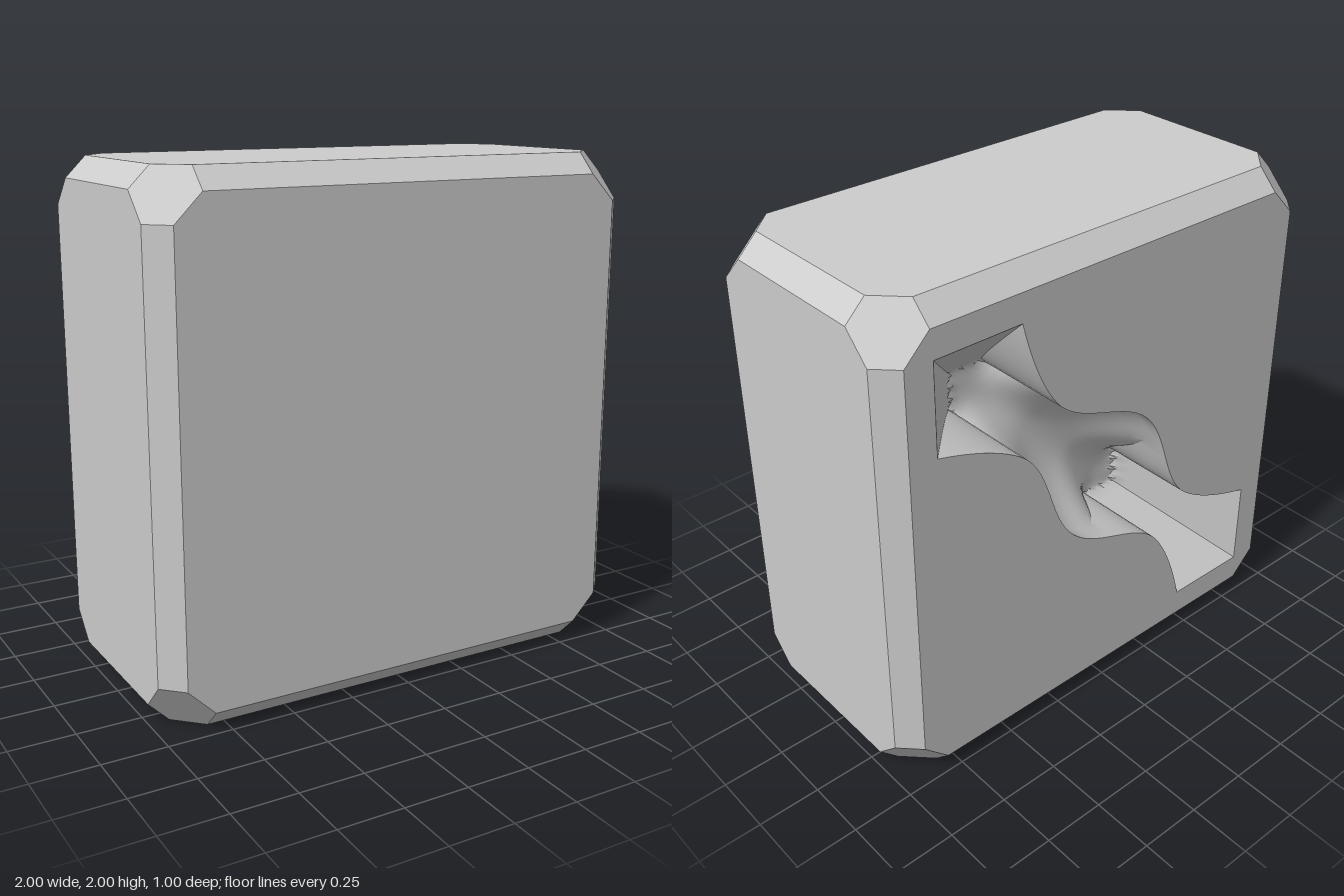
import * as THREE from 'three';
import { toCreasedNormals } from 'three/addons/utils/BufferGeometryUtils.js';

const HALF = [1, 1, 0.5]; // half width, height and depth
const CUT = 0.08; // edge chamfer
const CORNER = 0.185; // where the corner facets begin
const END = 1.14; // half length of the diagonal recess

// Flat convex polygon as a fan, turned to face away from the centre
function pushPolygon(out, pts) {
  const v = pts.map(p => new THREE.Vector3(...p));
  const mid = v.reduce((a, p) => a.add(p), new THREE.Vector3());
  const n = v[1].clone().sub(v[0]).cross(v[2].clone().sub(v[0]));
  if (n.dot(mid) < 0) v.reverse();
  for (let i = 1; i < v.length - 1; i++) {
    for (const p of [v[0], v[i], v[i + 1]]) out.push(p.x, p.y, p.z);
  }
}

function toGeometry(positions) {
  const g = new THREE.BufferGeometry();
  g.setAttribute('position', new THREE.Float32BufferAttribute(positions, 3));
  return g;
}

// Octagon outline of one side of the block
function octagon(hx, hy) {
  const e = CORNER, c = CUT;
  return [[hx - e, hy - c], [hx - c, hy - e], [hx - c, e - hy], [hx - e, c - hy],
    [e - hx, c - hy], [c - hx, e - hy], [c - hx, hy - e], [e - hx, hy - c]];
}

// Half width of the recess opening along its diagonal
function openingWidth(s) {
  const a = Math.abs(s);
  if (a < 0.48) return 0.11 + 0.075 * (1 + Math.cos(Math.PI * a / 0.48));
  if (a < 0.88) return 0.11 + 0.15 * Math.pow((a - 0.48) / 0.4, 1.6);
  return Math.max(0, END - a);
}

// Depth of the recess: sloped planes at the ends, a rounded bowl in the middle
function recessDepth(s, q) {
  const a = Math.abs(s);
  const ramp = 0.8 * (END - a - Math.abs(q) * openingWidth(s));
  const bowl = THREE.MathUtils.smoothstep(0.5 - a, 0, 0.35);
  const floor = THREE.MathUtils.lerp(0.42, 0.38 * (1 - 0.8 * q * q), bowl);
  return Math.max(0, Math.min(ramp, floor));
}

function diagonalPoint(s, t) {
  return [(s + t) * Math.SQRT1_2, (t - s) * Math.SQRT1_2];
}

export function createModel() {
  const model = new THREE.Group();
  model.name = 'chamferedBlock';
  const grey = new THREE.MeshStandardMaterial({ color: 0xcccccc });
  grey.name = 'light grey';

  const add = (parent, name, geometry) => {
    const mesh = new THREE.Mesh(geometry, grey);
    mesh.name = name;
    parent.add(mesh);
  };

  // Sides, edge chamfers and corner facets
  const sides = [], edges = [], corners = [];
  const signs = [-1, 1];
  for (let a = 0; a < 3; a++) {
    const b = (a + 1) % 3, c = (a + 2) % 3;
    for (const sa of signs) {
      if (a === 2 && sa < 0) continue; // the back has an opening
      pushPolygon(sides, octagon(HALF[b], HALF[c]).map(([p, q]) => {
        const v = [0, 0, 0];
        v[a] = sa * HALF[a]; v[b] = p; v[c] = q;
        return v;
      }));
    }
    for (const sb of signs) for (const sc of signs) {
      const l = HALF[a] - CORNER;
      pushPolygon(edges, [[-l, 0, CUT], [l, 0, CUT], [l, CUT, 0], [-l, CUT, 0]].map(([p, db, dc]) => {
        const v = [0, 0, 0];
        v[a] = p; v[b] = sb * (HALF[b] - db); v[c] = sc * (HALF[c] - dc);
        return v;
      }));
    }
  }
  const ring = [[CORNER, CUT, 0], [CUT, CORNER, 0], [0, CORNER, CUT],
    [0, CUT, CORNER], [CUT, 0, CORNER], [CORNER, 0, CUT]];
  for (const x of signs) for (const y of signs) for (const z of signs) {
    const sg = [x, y, z];
    pushPolygon(corners, ring.map(r => r.map((d, i) => sg[i] * (HALF[i] - d))));
  }
  for (const [name, list] of [['sides', sides], ['edgeChamfers', edges], ['cornerFacets', corners]]) {
    const g = toGeometry(list);
    g.computeVertexNormals();
    add(model, name, g);
  }

  // Stations along the recess, with the end corners included
  const stations = [];
  for (let i = -24; i <= 24; i++) stations.push(i * 0.88 / 24);
  for (const d of [0.97, 1.06, END]) { stations.push(d); stations.unshift(-d); }

  // Back panel with the recess opening
  const back = new THREE.Group();
  back.name = 'back';
  back.rotation.y = Math.PI;
  const panel = new THREE.Shape(octagon(HALF[0], HALF[1]).map(p => new THREE.Vector2(...p)));
  const upper = stations.map(s => diagonalPoint(s, openingWidth(s)));
  const lower = stations.slice(1, -1).reverse().map(s => diagonalPoint(s, -openingWidth(s)));
  panel.holes.push(new THREE.Path([...upper, ...lower].map(p => new THREE.Vector2(...p))));
  add(back, 'backPanel', new THREE.ShapeGeometry(panel).translate(0, 0, HALF[2]));

  // Recess walls and floor
  const columns = [{ q: -1, rim: true }];
  for (let j = -8; j <= 8; j++) columns.push({ q: j / 8 });
  columns.push({ q: 1, rim: true });
  const at = (i, j) => {
    const s = stations[i], { q, rim } = columns[j];
    return [...diagonalPoint(s, q * openingWidth(s)), HALF[2] - (rim ? 0 : recessDepth(s, q))];
  };
  const recess = [];
  for (let i = 0; i < stations.length - 1; i++) {
    for (let j = 0; j < columns.length - 1; j++) {
      const a = at(i, j), b = at(i + 1, j), c = at(i + 1, j + 1), d = at(i, j + 1);
      recess.push(...a, ...b, ...c, ...a, ...c, ...d);
    }
  }
  add(back, 'recess', toCreasedNormals(toGeometry(recess), 0.5));
  model.add(back);

  // Stand the block on the ground
  for (const part of model.children) part.position.y = HALF[1];
  return model;
}
